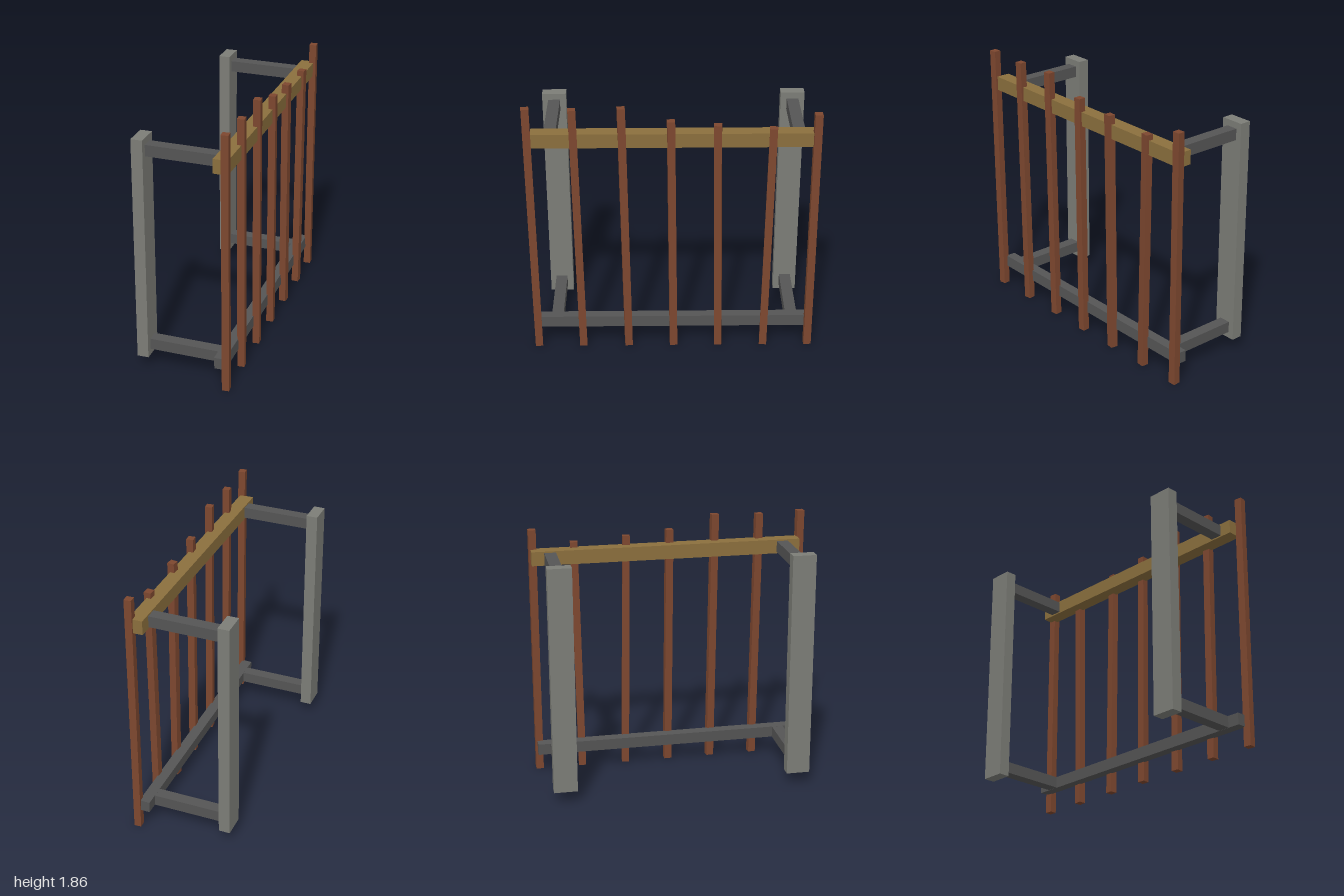
import * as THREE from 'three';

const material = (color) => new THREE.MeshStandardMaterial({ color, flatShading: true });

export function createModel() {
  const model = new THREE.Group();
  const concrete = material(0x7c7d77);
  const iron = material(0x555555);
  const timber = material(0x8b6f3d);
  const redwood = material(0x7d472f);

  // Box given by its extents along each axis
  function box(name, mat, [x0, x1], [y0, y1], [z0, z1]) {
    const mesh = new THREE.Mesh(new THREE.BoxGeometry(x1 - x0, y1 - y0, z1 - z0), mat);
    mesh.position.set((x0 + x1) / 2, (y0 + y1) / 2, (z0 + z1) / 2);
    mesh.name = name;
    model.add(mesh);
    return mesh;
  }

  // Wall posts, each with an upper and a lower arm
  for (const [side, z] of [['front', 0.82], ['back', -0.85]]) {
    box(side + 'Post', concrete, [-0.35, -0.27], [0.095, 1.705], [z - 0.083, z + 0.083]);
    box(side + 'UpperArm', iron, [-0.27, 0.23], [1.58, 1.66], [z - 0.041, z + 0.041]);
    box(side + 'LowerArm', iron, [-0.27, 0.25], [0.14, 0.22], [z - 0.041, z + 0.041]);
  }

  // Long rails carrying the slats
  box('upperRail', timber, [0.222, 0.322], [1.57, 1.67], [-0.98, 0.947]);
  const lowerRail = box('lowerRail', iron, [0.225, 0.3], [0.14, 0.222], [-0.98, 0.947]);
  lowerRail.rotation.z = 0.03;

  // Uneven slats: z at the foot, z at the top, height, twist
  const slats = [
    [0.957, 0.97, 1.86, 0.1],
    [0.638, 0.664, 1.85, 0.08],
    [0.313, 0.34, 1.86, 0.1],
    [-0.008, 0.01, 1.765, 0.06],
    [-0.327, -0.301, 1.735, -0.1],
    [-0.65, -0.673, 1.71, -0.08],
    [-0.968, -0.966, 1.81, 0.05],
  ];
  slats.forEach(([foot, top, height, twist], i) => {
    const slat = new THREE.Mesh(new THREE.BoxGeometry(0.05, height - 0.003, 0.053), redwood);
    slat.name = 'slat' + (i + 1);
    slat.position.set(0.315, height / 2 + 0.001, (foot + top) / 2);
    slat.rotation.set(Math.atan2(top - foot, height), twist, 0);
    model.add(slat);
  });

  return model;
}
